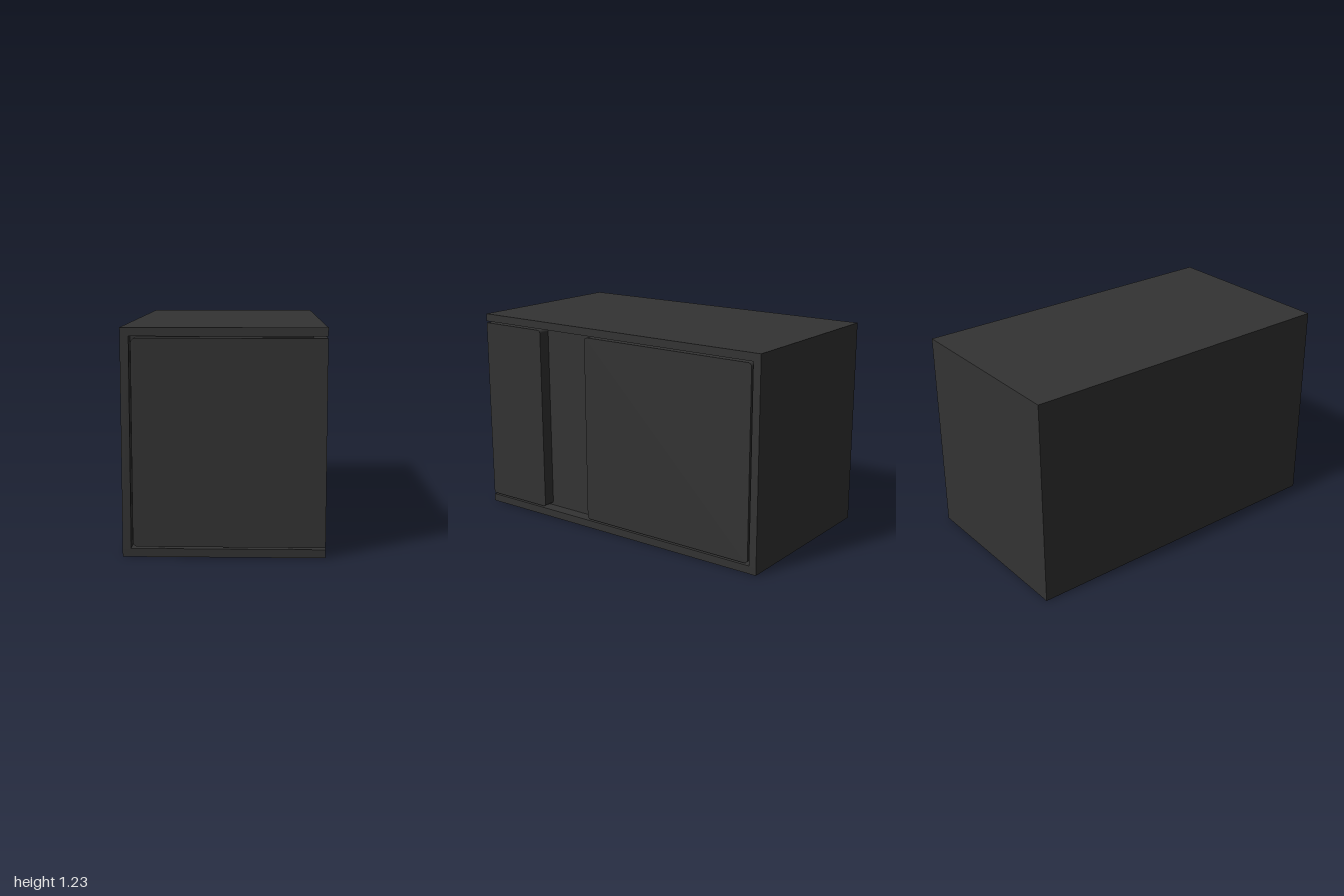
import * as THREE from 'three';

const X = 0.545, Z = 1, H = 1.233;   // outer half width, half depth, height
const WALL = 0.046;                  // frame thickness
const GAP = 0.01;                    // shadow gap around the panels
const INSET = 0.073;                 // depth of the recess behind the panels

export function createModel() {
  const group = new THREE.Group();
  const charcoal = new THREE.MeshStandardMaterial({ color: 0x333333 });

  const add = (name, geometry) => {
    const mesh = new THREE.Mesh(geometry, charcoal);
    mesh.name = name;
    group.add(mesh);
  };

  // Box given by its two opposite corners
  const box = (name, x0, x1, y0, y1, z0, z1) => {
    const g = new THREE.BoxGeometry(x1 - x0, y1 - y0, z1 - z0);
    g.translate((x0 + x1) / 2, (y0 + y1) / 2, (z0 + z1) / 2);
    add(name, g);
  };

  // Plate with separate corner radii for its left (rl) and right (rr) edges
  const plate = (u0, u1, v0, v1, rl, rr) => {
    const s = new THREE.Shape();
    const arc = (x, y, r, a) => r ? s.absarc(x, y, r, a, a + Math.PI / 2, false) : s.lineTo(x, y);
    s.moveTo(u0 + rl, v0);
    arc(u1 - rr, v0 + rr, rr, -Math.PI / 2);
    arc(u1 - rr, v1 - rr, rr, 0);
    arc(u0 + rl, v1 - rl, rl, Math.PI / 2);
    arc(u0 + rl, v0 + rl, rl, Math.PI);
    return new THREE.ExtrudeGeometry(s, { depth: INSET, bevelEnabled: false, curveSegments: 8 });
  };

  // Outer frame, open at the front and at the left side
  box('bottomSlab', -X, X, 0, WALL, -Z, Z);
  box('topSlab', -X, X, H - WALL, H, -Z, Z);
  box('sideWall', -X, -X + WALL, WALL, H - WALL, -Z, Z);
  box('backWall', -X + WALL, X, WALL, H - WALL, -Z, -Z + WALL);

  // Inner body set back behind the panels
  box('innerBody', -X + WALL, X - INSET, WALL, H - WALL, -Z + WALL, Z - INSET);

  const y0 = WALL + GAP, y1 = H - WALL - GAP, edge = WALL + GAP;

  // Front panel, meeting its side return at a sharp corner
  const front = plate(-X + edge, X, y0, y1, 0.025, 0);
  front.translate(0, 0, Z - INSET);
  add('frontPanel', front);

  // Side plates are drawn along -z and turned to face +x
  const sidePlate = (name, zFront, zBack, rFront, rBack) => {
    const g = plate(-zFront, -zBack, y0, y1, rFront, rBack);
    g.rotateY(Math.PI / 2);
    g.translate(X - INSET, 0, 0);
    add(name, g);
  };
  sidePlate('cornerReturnPanel', Z - INSET, 0.55, 0, 0.018);
  sidePlate('sideDoor', 0.2, -Z + edge, 0.022, 0.022);

  return group;
}
